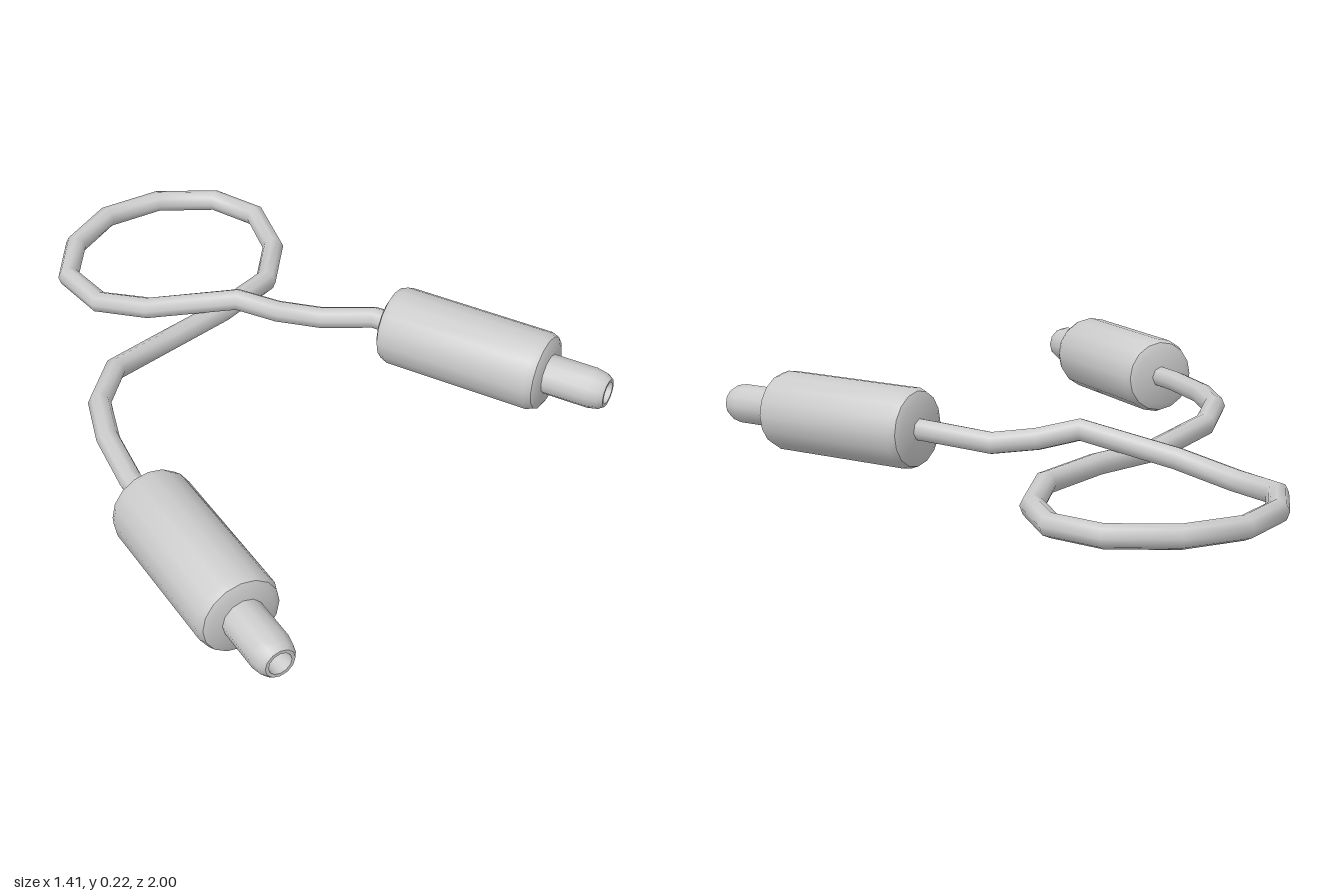
import * as THREE from 'three';
import { toCreasedNormals } from 'three/addons/utils/BufferGeometryUtils.js';

const material = new THREE.MeshStandardMaterial({ color: 0xcccccc });
const AXIS_Y = 0.112;

// Straight-segment path whose rings sit on the given points, with mitred joints
class CablePath extends THREE.Curve {
  constructor(points) {
    super();
    this.points = points;
  }
  getPoint(t, target = new THREE.Vector3()) {
    const f = t * (this.points.length - 1);
    const i = Math.min(Math.floor(f + 1e-6), this.points.length - 2);
    return target.lerpVectors(this.points[i], this.points[i + 1], f - i);
  }
  getPointAt(u, target) {
    return this.getPoint(u, target);
  }
  getTangentAt(u, target = new THREE.Vector3()) {
    const p = this.points;
    const i = Math.round(u * (p.length - 1));
    const before = p[i].clone().sub(p[Math.max(i - 1, 0)]).normalize();
    const after = p[Math.min(i + 1, p.length - 1)].clone().sub(p[i]).normalize();
    return target.addVectors(before, after).normalize();
  }
}

// Turned part: profile is [radius, distance along the plug], laid along +z
function turned(name, profile, sides) {
  const points = profile.map(([r, d]) => new THREE.Vector2(r, d));
  const geometry = new THREE.LatheGeometry(points, sides).rotateX(Math.PI / 2);
  const mesh = new THREE.Mesh(toCreasedNormals(geometry, 0.7), material);
  mesh.name = name;
  return mesh;
}

// Plug: rounded grip with a hollow tip, starting at (x, z) and turned about y
function makePlug(name, x, z, angle) {
  const plug = new THREE.Group();
  plug.name = name;
  plug.add(
    turned('plugGrip', [
      [0, 0], [0.085, 0], [0.103, 0.009], [0.111, 0.03],
      [0.111, 0.45], [0.103, 0.471], [0.085, 0.48], [0, 0.48],
    ], 16),
    turned('plugTip', [
      [0.056, 0.47], [0.056, 0.605], [0.05, 0.635], [0.04, 0.65],
      [0.031, 0.65], [0.027, 0.6], [0, 0.59],
    ], 12),
  );
  plug.position.set(x, AXIS_Y, z);
  plug.rotation.y = angle;
  return plug;
}

export function createModel() {
  const model = new THREE.Group();
  model.name = 'patchCable';

  model.add(makePlug('rightPlug', -0.595, 0.35, 0));
  model.add(makePlug('leftPlug', 0.34, 0.02, Math.PI / 6));

  // Cable from one plug, round the flat loop, over itself and into the other plug
  const path = [
    [-0.595, AXIS_Y, 0.38], [-0.595, AXIS_Y, 0.26], [-0.57, 0.113, 0.08],
    [-0.52, 0.11, -0.07], [-0.41, 0.094, -0.2], [-0.2, 0.06, -0.285],
    [0, 0.056, -0.335], [0.19, 0.046, -0.415], [0.305, 0.036, -0.57],
    [0.345, 0.036, -0.745], [0.28, 0.036, -0.885], [0.125, 0.036, -0.97],
    [-0.05, 0.036, -0.97], [-0.2, 0.036, -0.88], [-0.292, 0.036, -0.74],
    [-0.272, 0.036, -0.58], [-0.185, 0.072, -0.435], [0.01, 0.135, -0.265],
    [0.1, 0.105, -0.195], [0.2, 0.09, -0.125], [0.315, 0.11, -0.025],
    [0.355, AXIS_Y, 0.046],
  ].map((p) => new THREE.Vector3(...p));
  const cable = new THREE.Mesh(
    new THREE.TubeGeometry(new CablePath(path), path.length - 1, 0.031, 8, false),
    material,
  );
  cable.name = 'cable';
  model.add(cable);

  return model;
}
